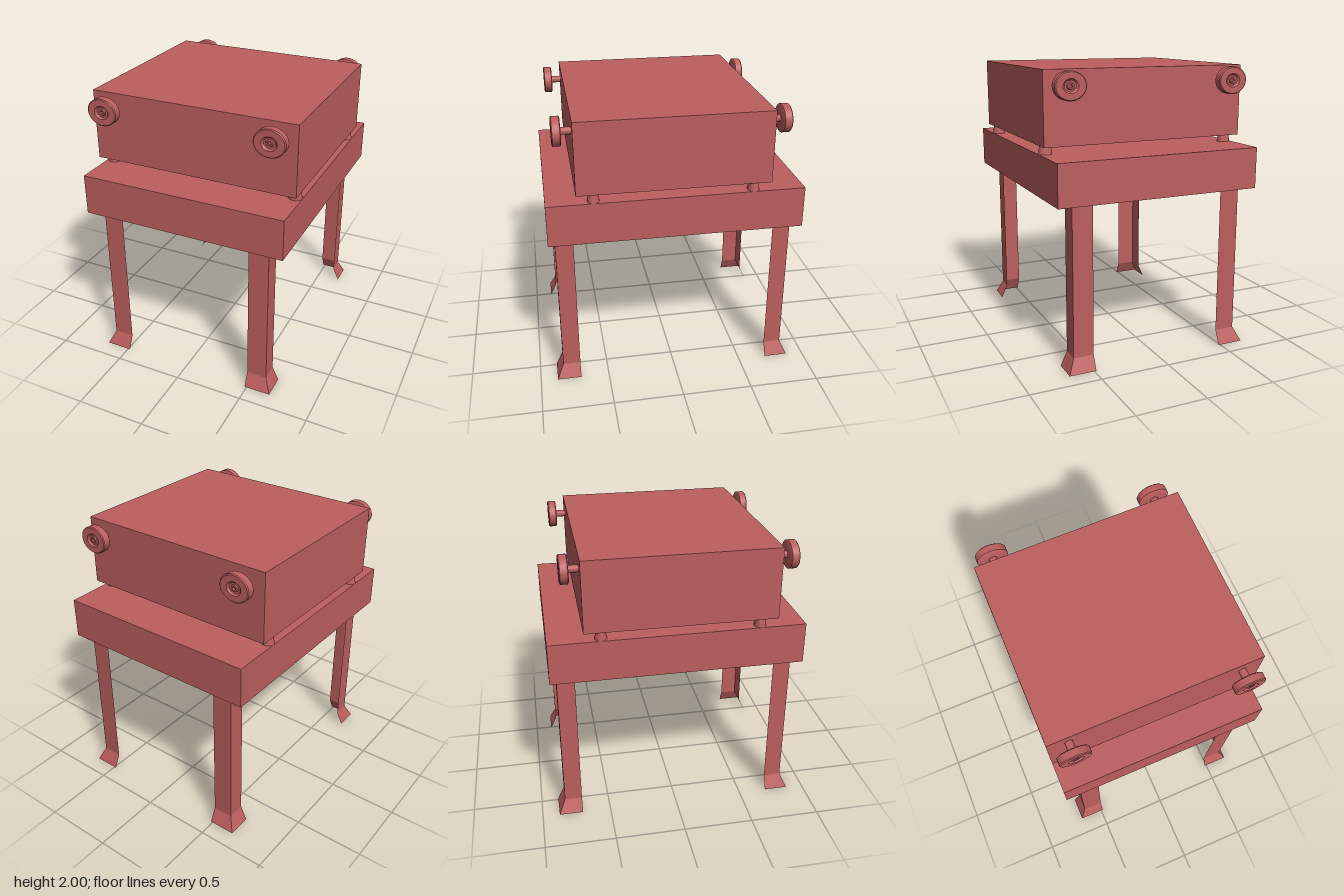
import * as THREE from 'three';
import { toCreasedNormals } from 'three/addons/utils/BufferGeometryUtils.js';

export function createModel() {
  const group = new THREE.Group();
  const red = new THREE.MeshStandardMaterial({ color: 0xbc5e5e });
  red.name = 'dustyRed';
  const redSheet = new THREE.MeshStandardMaterial({ color: 0xbc5e5e, side: THREE.DoubleSide });
  redSheet.name = 'dustyRedSheet';

  const add = (name, geometry, material, x = 0, y = 0, z = 0) => {
    const mesh = new THREE.Mesh(geometry, material);
    mesh.name = name;
    mesh.position.set(x, y, z);
    group.add(mesh);
    return mesh;
  };

  // Table slab and the case standing on it
  add('tableTop', new THREE.BoxGeometry(1.485, 0.29, 1.755), red, 0, 1.295, 0);
  add('case', new THREE.BoxGeometry(1.485, 0.5, 1.315), red, 0, 1.75, 0.02);

  // Angle-section leg: two sheet flanges meeting at the outer corner, flared at the foot
  const legGeometry = (sx, sz) => {
    // each section: inner end of front flange, corner, inner end of side flange
    const sections = [
      { y: 1.15, x: 0.63, z: 0.83 },
      { y: 0.1, x: 0.63, z: 0.83 },
      { y: 0, x: 0.677, z: 0.877 },
    ].map(({ y, x, z }) => [[0.485, y, z], [x, y, z], [x, y, 0.705]]
      .map(([px, py, pz]) => [px * sx, py, pz * sz]));
    const positions = [];
    for (let i = 0; i < 2; i++) {
      for (let j = 0; j < 2; j++) {
        const a = sections[i][j], b = sections[i][j + 1];
        const c = sections[i + 1][j + 1], d = sections[i + 1][j];
        const corners = sx * sz > 0 ? [a, d, c, a, c, b] : [a, c, d, a, b, c];
        corners.forEach((p) => positions.push(...p));
      }
    }
    const geometry = new THREE.BufferGeometry();
    geometry.setAttribute('position', new THREE.Float32BufferAttribute(positions, 3));
    geometry.computeVertexNormals();
    return geometry;
  };

  // Slightly oval tapered case foot
  const footGeometry = new THREE.CylinderGeometry(0.033, 0.041, 0.06, 32);
  footGeometry.scale(1.16, 1, 1);

  // Oval knob turned with its spindle, with a shallow stepped recess in the face
  const profile = [
    [0.024, 0], [0.024, 0.068], [0.085, 0.068], [0.095, 0.074], [0.095, 0.122],
    [0.089, 0.128], [0.047, 0.128], [0.036, 0.116], [0.024, 0.116],
    [0.02, 0.124], [0.011, 0.124], [0.009, 0.112], [0, 0.112],
  ].map(([r, h]) => new THREE.Vector2(r, h));
  const knobGeometry = toCreasedNormals(new THREE.LatheGeometry(profile, 40), 0.6);
  knobGeometry.rotateX(Math.PI / 2);
  knobGeometry.scale(1.15, 1, 1);

  for (const sx of [-1, 1]) {
    for (const sz of [-1, 1]) {
      const label = (sz > 0 ? 'front' : 'back') + (sx > 0 ? 'Left' : 'Right');
      add(label + 'Leg', legGeometry(sx, sz), redSheet);
      add(label + 'CaseFoot', footGeometry, red, sx * 0.695, 1.47, 0.02 + sz * 0.542);
      const knob = add(label + 'Knob', knobGeometry, red, sx * 0.6, 1.9, 0.02 + sz * 0.657);
      if (sz < 0) knob.rotation.y = Math.PI;
    }
  }
  return group;
}
